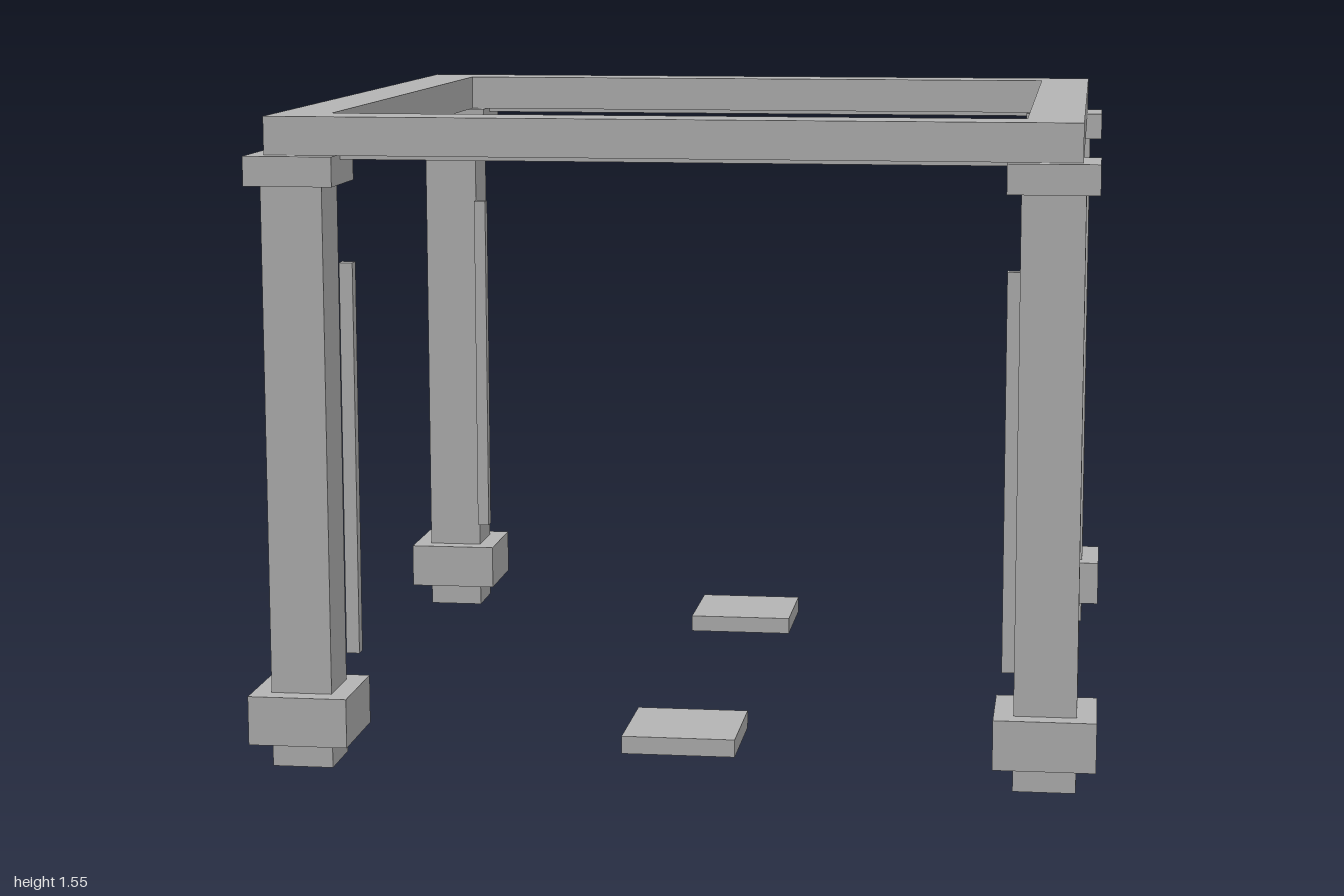
import * as THREE from 'three';

export function createModel() {
  const root = new THREE.Group();
  const stone = new THREE.MeshStandardMaterial({ color: 0xb4b4b4 });
  stone.name = 'grey stone';

  // box centred on x and z, spanning y0 to y1
  function box(parent, name, w, d, y0, y1, x = 0, z = 0) {
    const mesh = new THREE.Mesh(new THREE.BoxGeometry(w, y1 - y0, d), stone);
    mesh.name = name;
    mesh.position.set(x, (y0 + y1) / 2, z);
    parent.add(mesh);
  }

  // four corner columns, each with a base, a capital and a slim inner rod
  for (const sx of [-1, 1]) {
    for (const sz of [-1, 1]) {
      const column = new THREE.Group();
      column.name = (sz > 0 ? 'front' : 'back') + (sx > 0 ? 'Left' : 'Right') + 'Column';
      column.position.set(0.88 * sx, 0, 0.88 * sz);
      box(column, 'shaft', 0.146, 0.146, 0, 1.4);
      box(column, 'base', 0.238, 0.238, 0.062, 0.18);
      box(column, 'capital', 0.21, 0.21, 1.39, 1.46);
      box(column, 'innerRod', 0.032, 0.032, 0.245, 1.195, -0.09 * sx, -0.09 * sz);
      root.add(column);
    }
  }

  // square top frame with mitre-free corners
  const outer = 0.945, inner = 0.815;
  const shape = new THREE.Shape([
    new THREE.Vector2(-outer, -outer), new THREE.Vector2(outer, -outer),
    new THREE.Vector2(outer, outer), new THREE.Vector2(-outer, outer),
  ]);
  shape.holes.push(new THREE.Path([
    new THREE.Vector2(-inner, -inner), new THREE.Vector2(-inner, inner),
    new THREE.Vector2(inner, inner), new THREE.Vector2(inner, -inner),
  ]));
  const frameGeometry = new THREE.ExtrudeGeometry(shape, { depth: 0.09, bevelEnabled: false });
  frameGeometry.rotateX(-Math.PI / 2);
  const frame = new THREE.Mesh(frameGeometry, stone);
  frame.name = 'topFrame';
  frame.position.y = 1.46;
  root.add(frame);

  // front and back: strip under the beam and floor slab
  for (const sz of [-1, 1]) {
    const side = sz > 0 ? 'front' : 'back';
    box(root, side + 'BeamStrip', 1.64, 0.04, 1.448, 1.465, 0, 0.88 * sz);
    box(root, side + 'FloorSlab', 0.275, 0.275, 0.01, 0.053, 0, 0.643 * sz);
  }
  return root;
}
